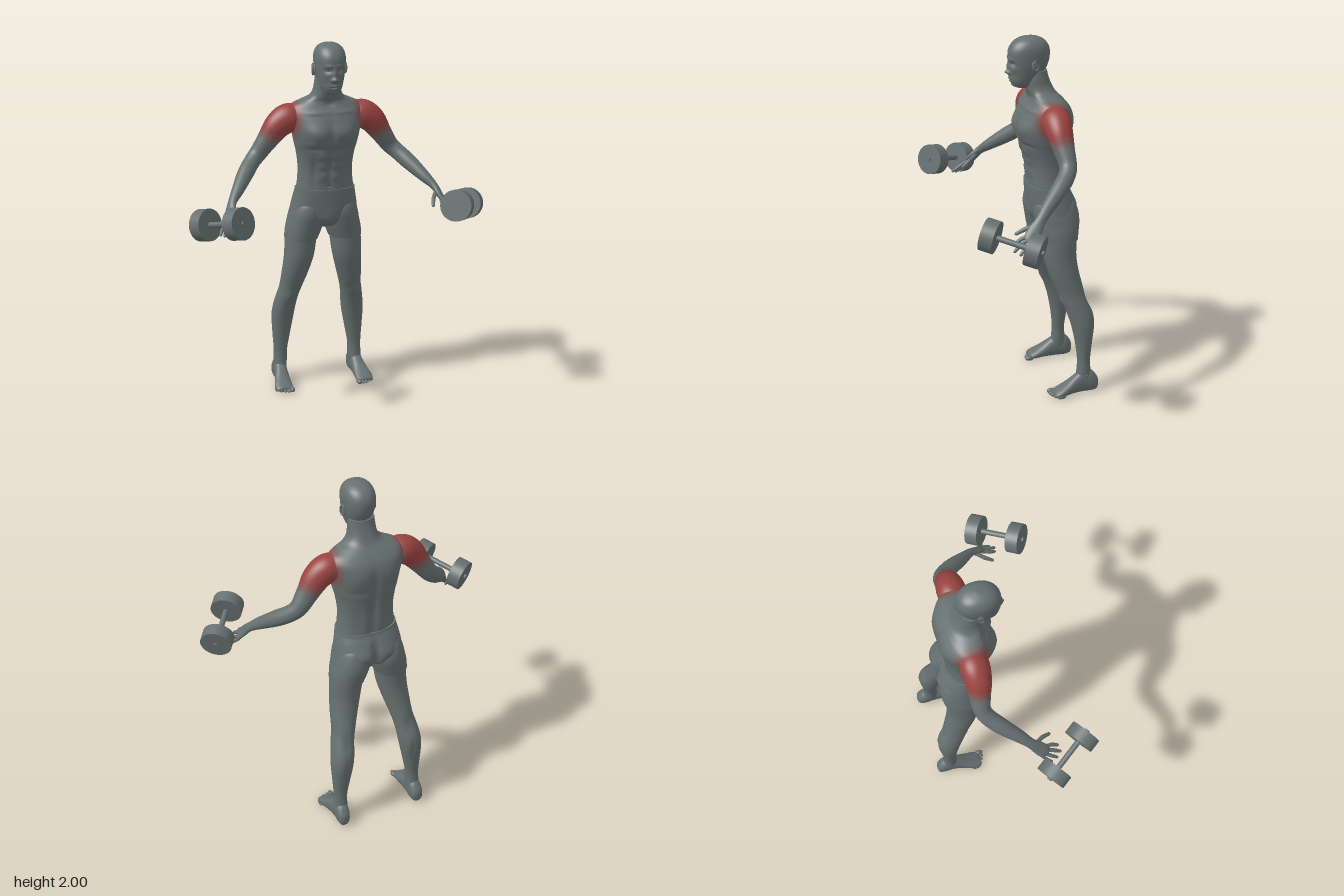
import * as THREE from 'three';

const V = (x, y, z) => new THREE.Vector3(x, y, z);

// Smoothly resample rows of numbers to n + 1 rows (Catmull-Rom per column)
function resample(rows, n) {
  const last = rows.length - 1;
  const at = i => rows[Math.min(last, Math.max(0, i))];
  return Array.from({ length: n + 1 }, (_, k) => {
    const f = (k / n) * last, i = Math.min(last - 1, Math.floor(f)), t = f - i;
    return at(i).map((b, c) => {
      const a = at(i - 1)[c], d = at(i + 1)[c], e = at(i + 2)[c];
      return b + 0.5 * t * (d - a + t * (2 * a - 5 * b + 4 * d - e + t * (3 * (b - d) + e - a)));
    });
  });
}

// Skin closed rings of points into a capped surface
function skinRings(rings) {
  const pos = [], index = [], m = rings[0].length;
  rings.forEach(r => r.forEach(p => pos.push(p.x, p.y, p.z)));
  for (let i = 0; i < rings.length - 1; i++) {
    for (let j = 0; j < m; j++) {
      const a = i * m + j, b = i * m + (j + 1) % m;
      index.push(a, b, a + m, b, b + m, a + m);
    }
  }
  [[rings[0], true], [rings[rings.length - 1], false]].forEach(([ring, flip]) => {
    const base = pos.length / 3, c = V(0, 0, 0);
    ring.forEach(p => { pos.push(p.x, p.y, p.z); c.addScaledVector(p, 1 / m); });
    pos.push(c.x, c.y, c.z);
    for (let j = 0; j < m; j++) {
      const a = base + j, b = base + (j + 1) % m;
      index.push(base + m, flip ? b : a, flip ? a : b);
    }
  });
  const g = new THREE.BufferGeometry();
  g.setAttribute('position', new THREE.Float32BufferAttribute(pos, 3));
  g.setIndex(index);
  g.computeVertexNormals();
  return g;
}

const power = (v, e) => Math.sign(v) * Math.abs(v) ** e;

// Stack of level sections [y, centreX, halfWidth, zFront, zBack], bottom to top.
// Bumps [side, x, y, spreadX, spreadY, dz] press muscles and features in or out along z.
function stack(rows, n, m, bumps = [], roundness = 2.3) {
  return skinRings(resample(rows, n).map(([y, cx, rx, zf, zb]) =>
    Array.from({ length: m }, (_, j) => {
      const a = (j / m) * Math.PI * 2, c = Math.cos(a), s = -Math.sin(a);
      const x = cx + rx * power(c, 2 / roundness);
      let z = (zf + zb) / 2 + (zf - zb) / 2 * power(s, 2 / roundness);
      for (const [side, bx, by, sx, sy, dz] of bumps) {
        const w = Math.max(0, side * s);
        for (const mx of bx ? [bx, -bx] : [0]) {
          z += w * dz * Math.exp(-(((x - mx) / sx) ** 2) - ((y - by) / sy) ** 2);
        }
      }
      return V(x, y, z);
    })));
}

// Limb along points [x, y, z, radiusAcross, radiusThrough]
function limb(rows, n, m, across = V(0.58, -0.58, -0.5)) {
  const pts = resample(rows, n), p = i => V(...pts[Math.min(n, Math.max(0, i))].slice(0, 3));
  return skinRings(pts.map((r, i) => {
    const t = p(i + 1).sub(p(i - 1)).normalize();
    const s = across.clone().addScaledVector(t, -across.dot(t)).normalize();
    const o = t.clone().cross(s);
    return Array.from({ length: m }, (_, j) => {
      const a = (j / m) * Math.PI * 2;
      return p(i).addScaledVector(s, r[3] * Math.cos(a)).addScaledVector(o, r[4] * Math.sin(a));
    });
  }));
}

function mirrored(geo) {
  const g = geo.clone().scale(-1, 1, 1), ix = g.index.array;
  for (let i = 0; i < ix.length; i += 3) [ix[i], ix[i + 1]] = [ix[i + 1], ix[i]];
  return g;
}

function ellipsoid(x, y, z, rx, ry, rz) {
  return new THREE.SphereGeometry(1, 20, 14).scale(rx, ry, rz).translate(x, y, z);
}

// Sort triangles into tint groups by distance from the shoulder muscle
function tintShoulders(g, limits) {
  const p = g.attributes.position, ix = g.index.array;
  const buckets = Array.from({ length: limits.length + 1 }, () => []);
  for (let i = 0; i < ix.length; i += 3) {
    const c = V(0, 0, 0);
    for (let k = 0; k < 3; k++) {
      c.add(V(Math.abs(p.getX(ix[i + k])), p.getY(ix[i + k]), p.getZ(ix[i + k])));
    }
    const d = c.divideScalar(3).distanceTo(V(0.26, 1.595, -0.135));
    buckets[limits.filter(l => d < l).length].push(ix[i], ix[i + 1], ix[i + 2]);
  }
  g.setIndex(buckets.flat());
  let start = 0;
  buckets.forEach((b, k) => { g.addGroup(start, b.length, k); start += b.length; });
  return g;
}

export function createModel() {
  const model = new THREE.Group();
  model.name = 'athleteWithDumbbells';
  const paint = (name, hex) => {
    const m = new THREE.MeshStandardMaterial({ color: hex });
    m.name = name;
    return m;
  };
  const grey = paint('grey', 0x667070);
  const tints = [grey, paint('faintRed', 0x716766), paint('softRed', 0x7d5d5b),
    paint('mediumRed', 0x8b514e), paint('red', 0x9a4441)];
  const limits = [0.148, 0.132, 0.117, 0.102];
  const add = (name, geo, mat = grey) => {
    const mesh = new THREE.Mesh(geo, mat);
    mesh.name = name;
    model.add(mesh);
  };
  const addPair = (name, geo, mat) => {
    add(name + 'Left', geo, mat);
    add(name + 'Right', mirrored(geo), mat);
  };

  // Torso and neck
  const torso = stack([
    [1.17, 0, 0.157, -0.058, -0.258], [1.20, 0, 0.158, -0.056, -0.257], [1.25, 0, 0.152, -0.054, -0.256],
    [1.32, 0, 0.15, -0.046, -0.26], [1.40, 0, 0.16, -0.022, -0.272], [1.45, 0, 0.172, -0.004, -0.28],
    [1.52, 0, 0.187, 0.006, -0.284], [1.58, 0, 0.2, -0.01, -0.281], [1.625, 0, 0.205, -0.032, -0.268],
    [1.66, 0, 0.185, -0.052, -0.242], [1.685, 0, 0.135, -0.058, -0.218], [1.705, 0, 0.095, -0.05, -0.2],
    [1.735, 0, 0.076, -0.042, -0.183], [1.78, 0, 0.07, -0.04, -0.165], [1.82, 0, 0.066, -0.05, -0.155],
  ], 110, 88, [
    [1, 0.085, 1.515, 0.06, 0.05, 0.014], [1, 0, 1.52, 0.018, 0.07, -0.01], [1, 0.09, 1.432, 0.06, 0.014, -0.008],
    [1, 0.108, 1.457, 0.011, 0.009, 0.006], [1, 0, 1.31, 0.01, 0.1, -0.008], [1, 0.085, 1.3, 0.014, 0.08, -0.007],
    [1, 0.04, 1.385, 0.025, 0.02, 0.007], [1, 0.04, 1.33, 0.025, 0.02, 0.007], [1, 0.04, 1.27, 0.025, 0.025, 0.006],
    [1, 0, 1.215, 0.008, 0.008, -0.009], [1, 0.075, 1.625, 0.06, 0.01, 0.006], [1, 0, 1.665, 0.02, 0.016, -0.01],
    [-1, 0, 1.41, 0.02, 0.17, 0.016], [-1, 0.1, 1.55, 0.05, 0.06, -0.01], [-1, 0.1, 1.47, 0.05, 0.02, 0.004],
    [-1, 0.045, 1.27, 0.025, 0.08, -0.006],
  ]);
  add('torso', tintShoulders(torso, limits), tints);

  // Head with facial features
  add('head', stack([
    [1.728, 0, 0.025, 0.0, -0.05], [1.74, 0, 0.043, 0.022, -0.07], [1.77, 0, 0.057, 0.04, -0.1],
    [1.80, 0, 0.066, 0.046, -0.135], [1.84, 0, 0.075, 0.048, -0.158], [1.88, 0, 0.08, 0.05, -0.17],
    [1.92, 0, 0.082, 0.049, -0.172], [1.95, 0, 0.077, 0.037, -0.163], [1.975, 0, 0.063, 0.014, -0.143],
    [1.991, 0, 0.04, -0.018, -0.113], [1.999, 0, 0.008, -0.056, -0.075],
  ], 110, 96, [
    [1, 0, 1.815, 0.013, 0.012, 0.019], [1, 0, 1.845, 0.009, 0.025, 0.011], [1, 0.015, 1.812, 0.007, 0.007, 0.006],
    [1, 0.034, 1.862, 0.018, 0.011, -0.013], [1, 0.03, 1.887, 0.022, 0.007, 0.004],
    [1, 0, 1.782, 0.02, 0.005, 0.007], [1, 0, 1.765, 0.017, 0.005, 0.007], [1, 0, 1.774, 0.022, 0.003, -0.005],
    [1, 0, 1.742, 0.02, 0.01, 0.006], [1, 0.045, 1.835, 0.015, 0.012, 0.004], [1, 0.042, 1.795, 0.014, 0.02, -0.005],
  ], 2.2));
  addPair('eye', ellipsoid(0.033, 1.861, 0.02, 0.014, 0.009, 0.013));
  addPair('ear', ellipsoid(0.081, 1.855, -0.07, 0.008, 0.029, 0.018).rotateZ(0));
  addPair('earRim', new THREE.TorusGeometry(0.021, 0.005, 8, 24).scale(0.8, 1.3, 1)
    .rotateY(Math.PI / 2 + 0.3).translate(0.088, 1.858, -0.073));

  // Arms, tapering to flattened palms
  const arm = limb([
    [0.145, 1.59, -0.145, 0.06, 0.06], [0.205, 1.59, -0.143, 0.075, 0.078], [0.265, 1.55, -0.143, 0.07, 0.073],
    [0.32, 1.475, -0.15, 0.056, 0.058], [0.37, 1.405, -0.155, 0.046, 0.048], [0.41, 1.365, -0.135, 0.044, 0.044],
    [0.46, 1.315, -0.08, 0.043, 0.043], [0.52, 1.25, 0.0, 0.034, 0.032], [0.56, 1.205, 0.05, 0.027, 0.021],
    [0.58, 1.165, 0.085, 0.035, 0.017], [0.6, 1.125, 0.115, 0.036, 0.014], [0.608, 1.108, 0.128, 0.022, 0.008],
  ], 100, 48);
  addPair('arm', tintShoulders(arm, limits), tints);

  // Spread fingers and thumb: base, middle joint, tip, radius
  [
    ['thumb', [0.562, 1.18, 0.075], [0.53, 1.152, 0.125], [0.513, 1.122, 0.172], 0.0115],
    ['indexFinger', [0.578, 1.14, 0.118], [0.573, 1.115, 0.165], [0.578, 1.088, 0.2], 0.0105],
    ['middleFinger', [0.592, 1.128, 0.115], [0.602, 1.1, 0.168], [0.61, 1.068, 0.207], 0.0105],
    ['ringFinger', [0.605, 1.116, 0.108], [0.623, 1.085, 0.15], [0.633, 1.056, 0.182], 0.0098],
    ['littleFinger', [0.616, 1.108, 0.096], [0.636, 1.078, 0.124], [0.648, 1.052, 0.148], 0.0088],
  ].forEach(([name, a, b, c, r]) => {
    const mix = (p, q, t) => p.map((v, i) => v + (q[i] - v) * t);
    addPair(name, limb([
      [...a, r, r], [...mix(a, b, 0.5), r * 0.95, r * 0.95], [...b, r, r], [...mix(b, c, 0.5), r * 0.85, r * 0.85],
      [...mix(b, c, 0.85), r * 0.75, r * 0.75], [...c, r * 0.15, r * 0.15],
    ], 20, 14, V(0.58, -0.58, -0.4)));
  });

  // Shorts: seat and two leg openings
  add('shortsSeat', stack([
    [0.975, 0, 0.07, -0.11, -0.25], [0.995, 0, 0.14, -0.085, -0.285], [1.03, 0, 0.188, -0.068, -0.302],
    [1.08, 0, 0.186, -0.057, -0.306], [1.14, 0, 0.175, -0.052, -0.288], [1.18, 0, 0.167, -0.05, -0.268],
    [1.195, 0, 0.166, -0.05, -0.264],
  ], 50, 80, [
    [-1, 0, 1.06, 0.018, 0.08, 0.034], [-1, 0.085, 1.07, 0.06, 0.05, -0.012],
    [1, 0, 1.03, 0.035, 0.04, 0.01], [1, 0.09, 1.05, 0.02, 0.07, -0.005],
  ]));
  addPair('shortsLeg', stack([
    [0.9, 0.126, 0.092, -0.094, -0.298], [0.95, 0.114, 0.099, -0.083, -0.306], [1.0, 0.102, 0.1, -0.072, -0.313],
    [1.05, 0.096, 0.095, -0.064, -0.308], [1.1, 0.094, 0.08, -0.07, -0.29], [1.13, 0.092, 0.06, -0.09, -0.26],
  ], 36, 56, [], 2.15));

  // Legs
  addPair('leg', stack([
    [0.05, 0.226, 0.034, -0.27, -0.375], [0.09, 0.224, 0.037, -0.27, -0.37], [0.13, 0.223, 0.038, -0.277, -0.357],
    [0.2, 0.221, 0.039, -0.28, -0.352], [0.3, 0.215, 0.051, -0.269, -0.362], [0.4, 0.208, 0.062, -0.249, -0.374],
    [0.47, 0.2, 0.063, -0.228, -0.37], [0.54, 0.188, 0.061, -0.202, -0.346], [0.6, 0.174, 0.062, -0.177, -0.327],
    [0.7, 0.155, 0.073, -0.135, -0.302], [0.8, 0.138, 0.082, -0.106, -0.288], [0.9, 0.128, 0.087, -0.097, -0.292],
    [0.95, 0.12, 0.088, -0.092, -0.294],
  ], 80, 44, [
    [1, 0.187, 0.555, 0.028, 0.032, 0.008], [1, 0.14, 0.62, 0.02, 0.04, 0.006],
    [-1, 0.188, 0.55, 0.03, 0.05, 0.008], [-1, 0.2, 0.4, 0.01, 0.06, 0.005],
  ], 2.1));
  addPair('ankleBone', ellipsoid(0.251, 0.105, -0.322, 0.014, 0.017, 0.016));

  // Feet: sections [z, centreX, halfWidth, top, bottom] from heel to ball
  const foot = resample([
    [-0.399, 0.228, 0.012, 0.07, 0.03], [-0.388, 0.228, 0.03, 0.095, 0.008], [-0.355, 0.226, 0.038, 0.13, 0.001],
    [-0.31, 0.227, 0.037, 0.135, 0.002], [-0.265, 0.23, 0.039, 0.108, 0.002], [-0.22, 0.235, 0.045, 0.076, 0.002],
    [-0.18, 0.239, 0.05, 0.052, 0.001], [-0.15, 0.239, 0.047, 0.036, 0.001], [-0.138, 0.238, 0.038, 0.026, 0.004],
  ], 40).map(([z, cx, w, top, low]) => Array.from({ length: 36 }, (_, j) => {
    const a = (j / 36) * Math.PI * 2;
    return V(cx + w * power(Math.cos(a), 0.85), (top + low) / 2 + (top - low) / 2 * power(Math.sin(a), 0.85), z);
  }));
  addPair('foot', skinRings(foot));
  for (let i = 0; i < 5; i++) {
    const r = i ? 0.0115 - i * 0.0006 : 0.015;
    addPair('toe' + (i + 1), ellipsoid(0.2 + i * 0.0205, r, -0.136 - i * i * 0.0022, r, r, 0.026));
  }

  // Dumbbells
  for (const s of [1, -1]) {
    const front = V(0.59 * s, 1.165, 0.32), back = V(0.722 * s, 1.115, 0.13);
    const bell = new THREE.Group();
    bell.name = s > 0 ? 'dumbbellLeft' : 'dumbbellRight';
    bell.position.copy(front).lerp(back, 0.5);
    bell.quaternion.setFromUnitVectors(V(0, 1, 0), front.clone().sub(back).normalize());
    const half = front.distanceTo(back) / 2;
    [['bar', 0.015, half * 2, 0], ['frontWeight', 0.084, 0.07, half], ['backWeight', 0.084, 0.07, -half],
      ['barEnds', 0.013, half * 2 + 0.09, 0]].forEach(([name, r, h, y]) => {
      const mesh = new THREE.Mesh(new THREE.CylinderGeometry(r, r, h, 40), grey);
      mesh.name = name;
      mesh.position.y = y;
      bell.add(mesh);
    });
    model.add(bell);
  }
  return model;
}
